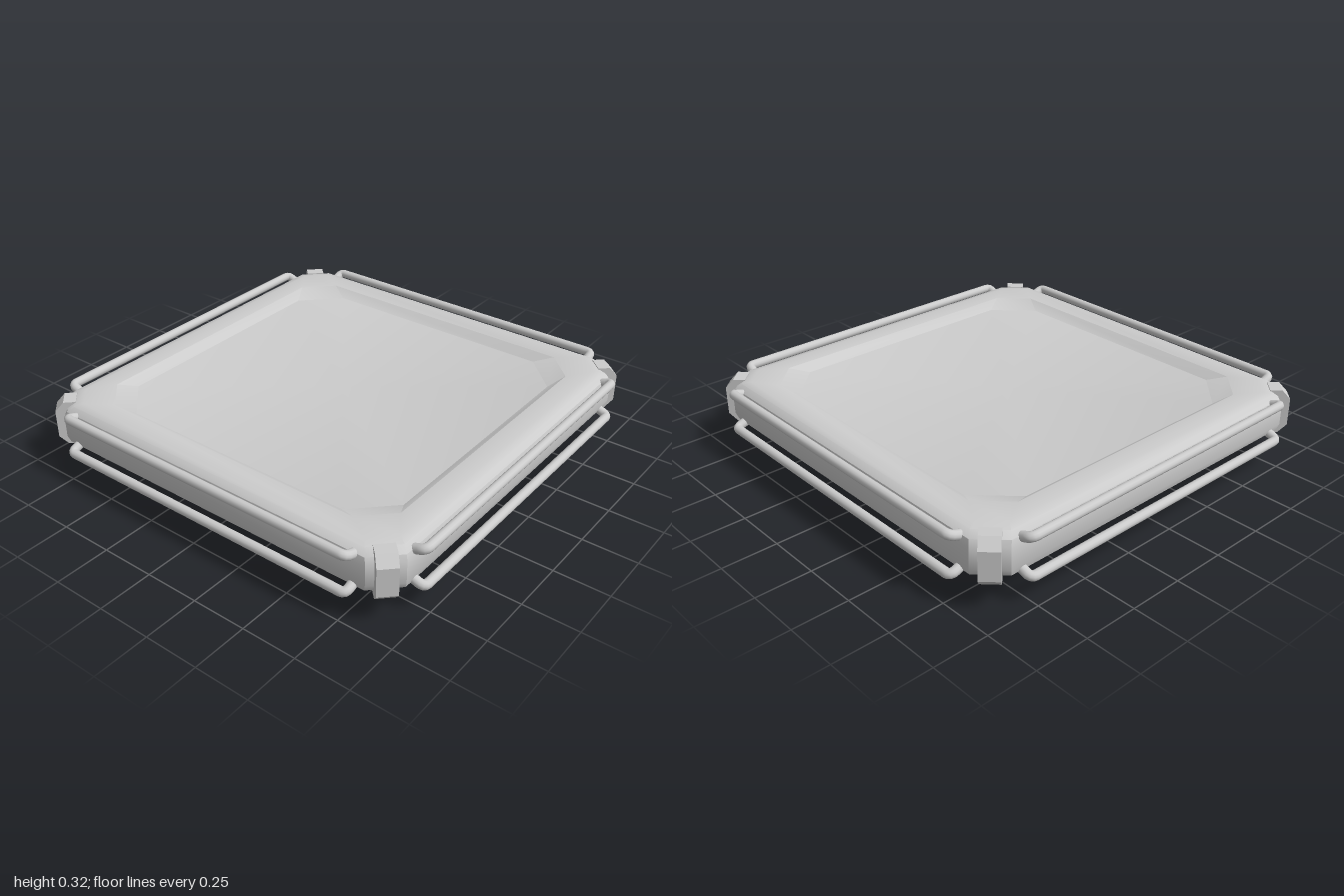
import * as THREE from 'three';
import { toCreasedNormals } from 'three/addons/utils/BufferGeometryUtils.js';

const grey = new THREE.MeshStandardMaterial({ color: 0xcccccc });

function addMesh(parent, name, geometry) {
  const mesh = new THREE.Mesh(geometry, grey);
  mesh.name = name;
  parent.add(mesh);
  return mesh;
}

// Closed solid lofted through square rings with cut corners: [half width, half straight edge, y]
function loftRings(rings) {
  const position = [0, rings[0][2], 0];
  const index = [];
  const n = 8;
  for (const [h, s, y] of rings) {
    for (const [x, z] of [[h, -s], [h, s], [s, h], [-s, h], [-h, s], [-h, -s], [-s, -h], [s, -h]]) {
      position.push(x, y, z);
    }
  }
  const last = rings.length - 1;
  const bottom = position.length / 3;
  position.push(0, rings[last][2], 0);
  const at = (r, j) => 1 + r * n + (j % n);
  for (let j = 0; j < n; j++) {
    index.push(0, at(0, j + 1), at(0, j));
    for (let r = 0; r < last; r++) {
      index.push(at(r, j), at(r, j + 1), at(r + 1, j));
      index.push(at(r, j + 1), at(r + 1, j + 1), at(r + 1, j));
    }
    index.push(at(last, j), at(last, j + 1), bottom);
  }
  const geometry = new THREE.BufferGeometry();
  geometry.setAttribute('position', new THREE.Float32BufferAttribute(position, 3));
  geometry.setIndex(index);
  return toCreasedNormals(geometry, 0.5);
}

// Long handrail with rounded elbows and two short legs sloping into the body
function railGeometry(yOuter, yInner) {
  const x = 0.766, zOut = 0.976, zIn = 0.9, r = 0.025;
  const yBend = THREE.MathUtils.lerp(yOuter, yInner, r / (zOut - zIn));
  const v = (a, b, c) => new THREE.Vector3(a, b, c);
  const path = new THREE.CurvePath();
  path.add(new THREE.LineCurve3(v(-x, yInner, zIn), v(-x, yBend, zOut - r)));
  path.add(new THREE.QuadraticBezierCurve3(v(-x, yBend, zOut - r), v(-x, yOuter, zOut), v(-x + r, yOuter, zOut)));
  path.add(new THREE.LineCurve3(v(-x + r, yOuter, zOut), v(x - r, yOuter, zOut)));
  path.add(new THREE.QuadraticBezierCurve3(v(x - r, yOuter, zOut), v(x, yOuter, zOut), v(x, yBend, zOut - r)));
  path.add(new THREE.LineCurve3(v(x, yBend, zOut - r), v(x, yInner, zIn)));
  return new THREE.TubeGeometry(path, 160, 0.021, 12, false);
}

// Corner block: chamfered profile in radial/height plane, extruded across the corner
function bracketGeometry() {
  const width = 0.086;
  const profile = new THREE.Shape([
    [1.2, 0.105], [1.255, 0.105], [1.294, 0.145], [1.294, 0.275], [1.255, 0.318], [1.2, 0.318],
  ].map(([a, b]) => new THREE.Vector2(a, b)));
  return new THREE.ExtrudeGeometry(profile, { depth: width, bevelEnabled: false }).translate(0, 0, -width / 2);
}

export function createModel() {
  const model = new THREE.Group();
  model.name = 'panel';

  // Body: recessed top, rounded rim, stepped underside
  addMesh(model, 'body', loftRings([
    [0.745, 0.575, 0.285],
    [0.79, 0.66, 0.318],
    [0.87, 0.775, 0.32],
    [0.905, 0.8, 0.312],
    [0.93, 0.82, 0.29],
    [0.94, 0.83, 0.26],
    [0.94, 0.83, 0.165],
    [0.93, 0.82, 0.135],
    [0.905, 0.8, 0.112],
    [0.87, 0.775, 0.098],
    [0.775, 0.65, 0.072],
    [0.67, 0.51, 0.012],
    [0.57, 0.43, 0],
  ]));

  // Two rails per side and one block per corner
  const upper = railGeometry(0.299, 0.272);
  const lower = railGeometry(0.123, 0.15);
  const bracket = bracketGeometry();
  ['front', 'left', 'back', 'right'].forEach((side, i) => {
    const angle = (i * Math.PI) / 2;
    addMesh(model, side + 'UpperRail', upper).rotation.y = angle;
    addMesh(model, side + 'LowerRail', lower).rotation.y = angle;
    addMesh(model, 'cornerBlock' + (i + 1), bracket).rotation.y = angle + Math.PI / 4;
  });
  return model;
}
